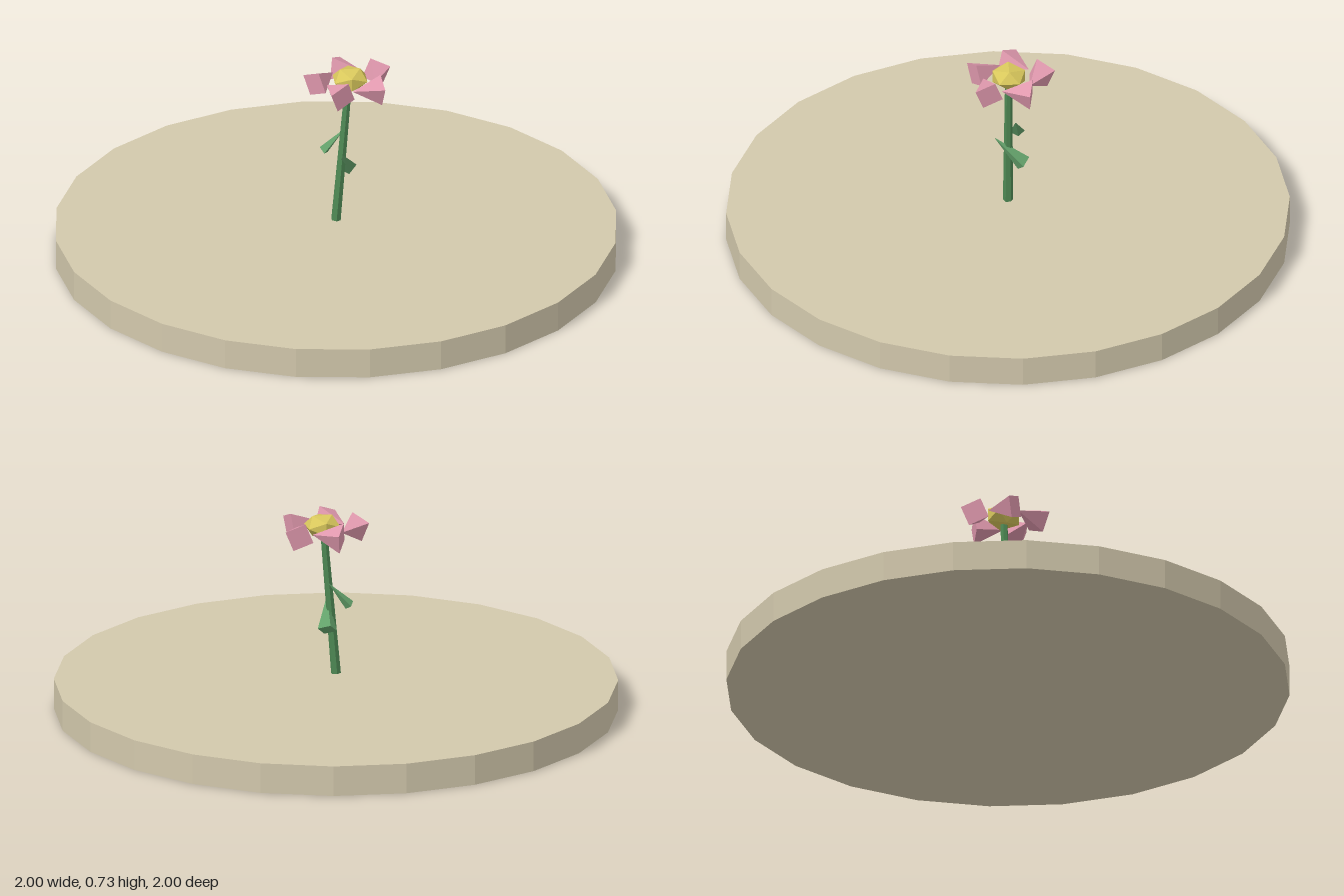
import * as THREE from 'three';

const material = (name, color) => {
  const m = new THREE.MeshStandardMaterial({ color, flatShading: true });
  m.name = name;
  return m;
};

export function createModel() {
  const sand = material('sand', 0xd2c8ac);
  const green = material('stem green', 0x4f8a55);
  const leafGreen = material('leaf green', 0x63a06a);
  const pink = material('petal pink', 0xdf98ad);
  const yellow = material('centre yellow', 0xd8c75c);

  const model = new THREE.Group();
  model.name = 'flower';
  const add = (name, geometry, mat, parent = model) => {
    const mesh = new THREE.Mesh(geometry, mat);
    mesh.name = name;
    parent.add(mesh);
    return mesh;
  };

  // Four-sided cone running from its broad end to its tip, rolled and flattened
  const spike = (name, base, tip, radius, flat, roll, mat, parent) => {
    const axis = tip.clone().sub(base);
    const geometry = new THREE.ConeGeometry(radius, axis.length(), 4);
    geometry.rotateY(roll);
    const y = axis.clone().normalize();
    const x = new THREE.Vector3(0, 1, 0).cross(y).normalize();
    const z = new THREE.Vector3().crossVectors(x, y);
    geometry.scale(1, 1, flat);
    geometry.applyMatrix4(new THREE.Matrix4().makeBasis(x, y, z));
    const mesh = add(name, geometry, mat, parent);
    mesh.position.copy(base).add(tip).multiplyScalar(0.5);
    return mesh;
  };

  // Ground disc
  add('groundDisc', new THREE.CylinderGeometry(1, 1, 0.11, 24), sand).position.y = 0.055;

  // Leaning stem
  const foot = new THREE.Vector3(0, 0.135, 0);
  const head = new THREE.Vector3(0.045, 0.67, 0);
  const stem = add('stem', new THREE.CylinderGeometry(0.013, 0.018, foot.distanceTo(head), 6), green);
  stem.position.copy(foot).add(head).multiplyScalar(0.5);
  stem.quaternion.setFromUnitVectors(new THREE.Vector3(0, 1, 0), head.clone().sub(foot).normalize());

  // Two leaves, broad end hanging outward
  spike('lowerLeaf', new THREE.Vector3(0.045, 0.315, -0.053), new THREE.Vector3(0.02, 0.41, 0.05),
    0.036, 0.8, 0.3, leafGreen);
  spike('upperLeaf', new THREE.Vector3(-0.04, 0.395, -0.035), new THREE.Vector3(0.035, 0.48, -0.025),
    0.027, 0.7, 0.2, leafGreen);

  // Blossom: five pinwheel petals around a faceted centre
  const blossom = new THREE.Group();
  blossom.name = 'blossom';
  blossom.position.set(0.05, 0.673, 0);
  model.add(blossom);
  const around = (degrees, radius, y) => {
    const a = THREE.MathUtils.degToRad(degrees);
    return new THREE.Vector3(Math.cos(a) * radius, y, Math.sin(a) * radius);
  };
  for (let i = 0; i < 5; i++) {
    const angle = 180 - i * 72;
    spike('petal', around(angle, 0.127, 0), around(angle + 55, 0.09, 0.006), 0.054, 1, 0.4, pink, blossom);
  }
  const centre = add('flowerCentre', new THREE.IcosahedronGeometry(0.068, 0), yellow, blossom);
  centre.scale.y = 0.65;
  centre.position.y = 0.015;

  return model;
}
